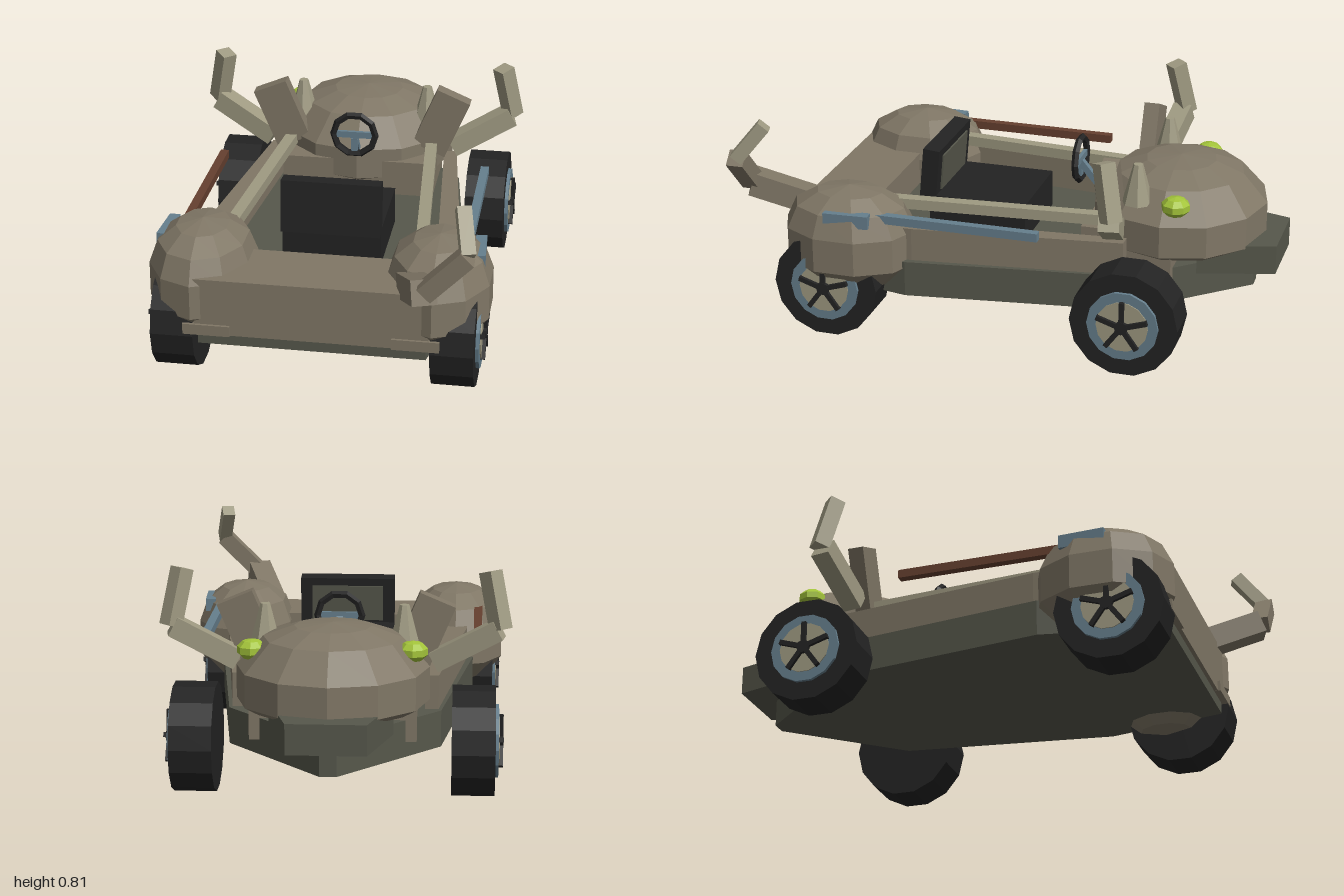
import * as THREE from 'three';

const mat = (name, color) => {
  const m = new THREE.MeshStandardMaterial({ color, flatShading: true });
  m.name = name;
  return m;
};

export function createModel() {
  const tan = mat('tan', 0x807766), pale = mat('pale tan', 0x9f9a82), dark = mat('dark olive', 0x56574b);
  const black = mat('black', 0x232323), steel = mat('steel blue', 0x667f8d);
  const lime = mat('lime', 0xa3c43a), rust = mat('rust brown', 0x66402f);
  const root = new THREE.Group();

  const add = (name, geo, material, pos = [0, 0, 0], parent = root) => {
    const m = new THREE.Mesh(geo, material);
    m.name = name;
    m.position.set(...pos);
    parent.add(m);
    return m;
  };
  const box = (name, material, size, pos, parent) =>
    add(name, new THREE.BoxGeometry(...size), material, pos, parent);
  // Square bar running between two points
  const bar = (name, material, a, b, w, h = w, parent = root) => {
    const p = new THREE.Vector3(...a), q = new THREE.Vector3(...b);
    const m = box(name, material, [w, h, p.distanceTo(q)], [0, 0, 0], parent);
    m.position.copy(p).lerp(q, 0.5);
    m.lookAt(q);
    return m;
  };
  // Vertical prism from a plan outline of [x, z] points
  const prism = (name, material, pts, y0, y1) => {
    const shape = new THREE.Shape(pts.map(([x, z]) => new THREE.Vector2(x, -z)));
    const g = new THREE.ExtrudeGeometry(shape, { depth: y1 - y0, bevelEnabled: false });
    g.rotateX(-Math.PI / 2);
    return add(name, g, material, [0, y0, 0]);
  };
  const mirrored = pts => [...pts, ...pts.map(([x, z]) => [-x, z]).reverse()];
  // Faceted oval shell from [radius, y] points
  const shell = (name, pts, sides, rx, rz, pos) => {
    const g = new THREE.LatheGeometry(pts.map(p => new THREE.Vector2(...p)), sides);
    g.scale(rx, 1, rz);
    return add(name, g, tan, pos);
  };

  // Chassis, pointed towards the head end
  prism('chassis', dark, mirrored([[0.41, 0.78], [0.5, 0.32], [0.385, -0.5], [0.03, -0.9]]), 0.165, 0.3);
  prism('jaw', dark, mirrored([[0.22, -0.72], [0.14, -1]]), 0.27, 0.38);
  box('tailDeck', tan, [0.84, 0.215, 0.27], [0, 0.318, 0.66]);
  box('dashboard', tan, [0.6, 0.22, 0.34], [0, 0.33, -0.47]);

  // Head dome
  shell('head', [[0, 0.33], [0.85, 0.34], [1, 0.37], [1, 0.49], [0.72, 0.595], [0.4, 0.635], [0, 0.648]],
    12, 0.345, 0.33, [0, 0, -0.605]);

  for (const s of [1, -1]) {
    // Side walls and upper rails
    prism('sideWall', tan, [[s * 0.475, 0.5], [s * 0.475, 0.3], [s * 0.375, -0.48],
      [s * 0.325, -0.48], [s * 0.41, 0.5]], 0.295, 0.425);
    bar('rail', pale, [s * 0.35, 0.475, 0.42], [s * 0.28, 0.475, -0.42], 0.045, 0.04);

    // Rounded shell over each front wheel
    shell('fender', [[0, 0.11], [0.4, 0.13], [0.72, 0.2], [1, 0.27], [1, 0.4], [0.84, 0.485], [0.5, 0.535], [0, 0.556]],
      10, 0.195, 0.255, [s * 0.43, 0, 0.555]);
    box('bumperPad', tan, [0.17, 0.04, 0.03], [s * 0.375, 0.23, 0.79]);

    // Ears, horns, eyes
    const ear = box('ear', tan, [0.14, 0.25, 0.06], [s * 0.32, 0.58, -0.415]);
    ear.rotation.z = -s * 0.4;
    add('horn', new THREE.CylinderGeometry(0.018, 0.058, 0.15, 7), pale, [s * 0.25, 0.615, -0.5]);
    const eye = add('eye', new THREE.SphereGeometry(0.055, 8, 5), lime, [s * 0.285, 0.555, -0.65]);
    eye.scale.y = 0.7;

    // Raised arm beside the head
    bar('headArmLower', pale, [s * 0.36, 0.47, -0.44], [s * 0.59, 0.6, -0.48], 0.075, 0.075);
    bar('headArmUpper', pale, [s * 0.595, 0.6, -0.49], [s * 0.555, 0.805, -0.45], 0.06);

    // Long side pole in its socket
    bar('sidePole', s > 0 ? steel : rust, [s * 0.52, 0.475, 0.48], [s * 0.515, 0.475, -0.2], 0.032);
    bar('poleSocket', steel, [s * 0.565, 0.475, 0.43], [s * 0.575, 0.475, 0.6], 0.04, 0.05);
  }

  // Jointed arm on the left fender
  const joints = [[0.34, 0.43, 0.72], [0.42, 0.52, 0.95], [0.565, 0.665, 0.945], [0.535, 0.795, 0.84]];
  [0.09, 0.065, 0.05].forEach((w, i) =>
    bar('fenderArm' + (i + 1), i < 2 ? tan : pale, joints[i], joints[i + 1], w));

  // Seat
  box('seatCushion', black, [0.37, 0.145, 0.38], [0, 0.37, 0.14]);
  const back = new THREE.Group();
  back.name = 'seatBack';
  back.position.set(0, 0.525, 0.328);
  back.rotation.x = -0.09;
  root.add(back);
  box('backrest', black, [0.37, 0.2, 0.065], [0, 0, 0], back);
  box('backrestPanel', dark, [0.28, 0.14, 0.008], [0, 0, -0.035], back);

  // Steering wheel and column
  const steering = new THREE.Group();
  steering.name = 'steeringWheel';
  steering.position.set(0, 0.585, -0.215);
  root.add(steering);
  add('steeringRim', new THREE.TorusGeometry(0.082, 0.014, 5, 10), black, [0, 0, 0], steering);
  box('steeringCrossbar', steel, [0.15, 0.025, 0.014], [0, 0, 0], steering);
  box('steeringStem', steel, [0.025, 0.08, 0.014], [0, -0.04, 0], steering);
  bar('steeringColumn', steel, [0, 0.575, -0.215], [0, 0.44, -0.33], 0.025);

  // Wheels: tyre, rim ring, pale disc, five spokes and hub
  const disc = (r, depth, sides) => new THREE.CylinderGeometry(r, r, depth, sides).rotateZ(Math.PI / 2);
  for (const s of [1, -1]) for (const z of [0.605, -0.535]) {
    const wheel = new THREE.Group();
    wheel.name = 'wheel';
    wheel.position.set(s * 0.5025, 0.2, z);
    wheel.rotation.y = s > 0 ? 0 : Math.PI;
    root.add(wheel);
    add('tyre', disc(0.2, 0.155, 14), black, [0, 0, 0], wheel);
    add('rim', disc(0.132, 0.02, 14), steel, [0.08, 0, 0], wheel);
    add('rimDisc', disc(0.096, 0.008, 14), pale, [0.09, 0, 0], wheel);
    add('hub', disc(0.025, 0.03, 8), black, [0.093, 0, 0], wheel);
    for (let i = 0; i < 5; i++) {
      const a = Math.PI / 2 + i * Math.PI * 2 / 5;
      bar('spoke', black, [0.098, 0, 0], [0.098, Math.sin(a) * 0.098, Math.cos(a) * 0.098], 0.018, 0.018, wheel);
    }
  }
  // Spokes were aimed before mirroring, so set each one along its own local radius
  root.traverse(o => {
    if (o.name === 'spoke') o.rotation.set(-Math.atan2(o.position.y, o.position.z), 0, 0);
  });
  return root;
}
